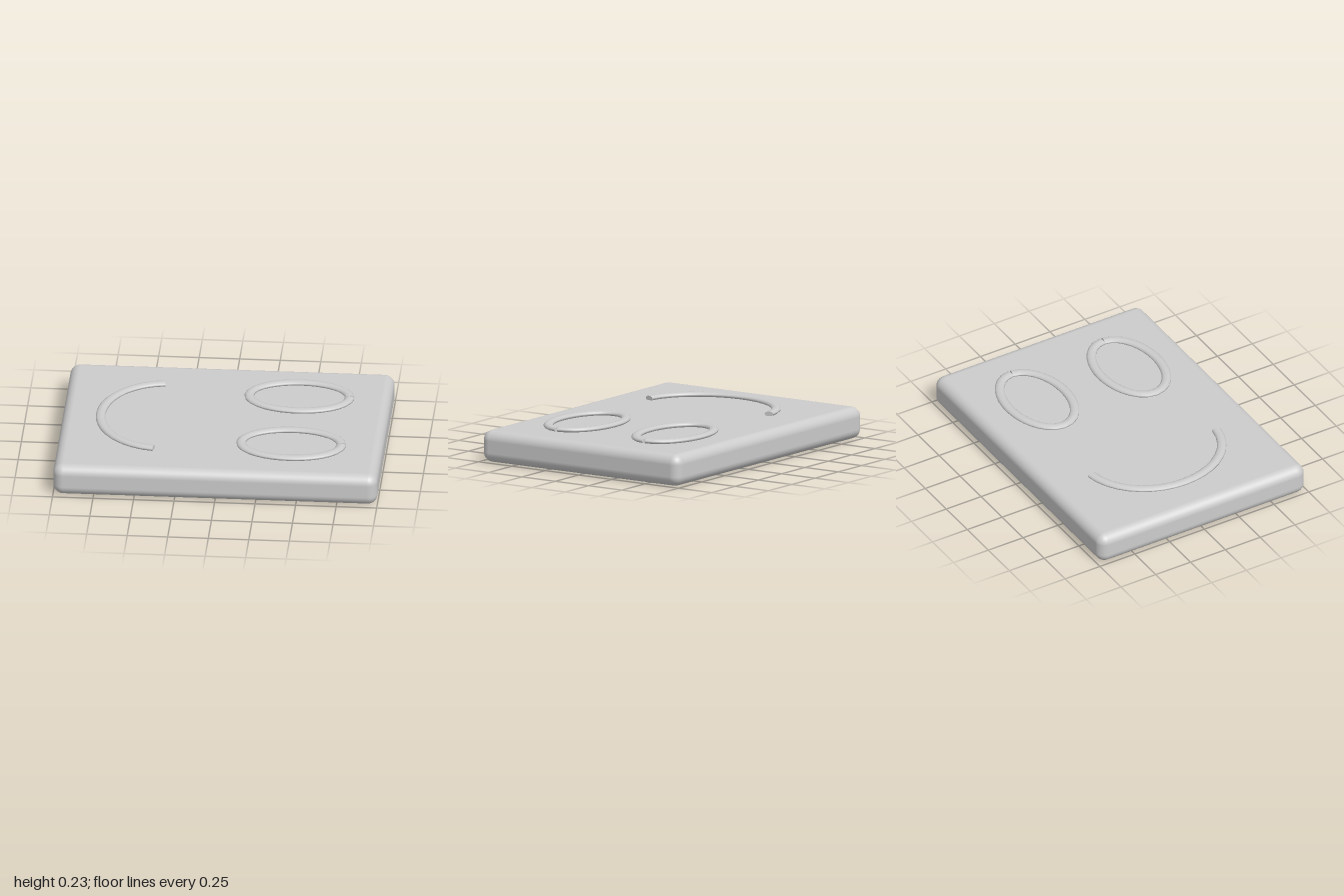
import * as THREE from 'three';
import { RoundedBoxGeometry } from 'three/addons/geometries/RoundedBoxGeometry.js';

const TUBE_RADIUS = 0.03;
const FLATTEN = 0.53;
const TUBE_HEIGHT = 0.218;

export function createModel() {
  const grey = new THREE.MeshStandardMaterial({ name: 'light grey', color: 0xcccccc });
  const model = new THREE.Group();
  model.name = 'facePlate';

  // Flattened tube along part of an ellipse lying flat, closed at both ends
  function ellipseTube(name, x, z, radiusX, radiusZ, start, end, segments) {
    const points = [];
    for (let i = 0; i <= segments; i++) {
      const a = start + (end - start) * i / segments;
      points.push(new THREE.Vector3(radiusX * Math.cos(a), 0, radiusZ * Math.sin(a)));
    }
    const path = new THREE.CatmullRomCurve3(points);
    const group = new THREE.Group();
    group.name = name;
    group.add(new THREE.Mesh(new THREE.TubeGeometry(path, segments, TUBE_RADIUS, 10), grey));

    // End caps face away from the tube
    for (const [t, sign] of [[0, -1], [1, 1]]) {
      const cap = new THREE.Mesh(new THREE.CircleGeometry(TUBE_RADIUS, 10), grey);
      cap.name = name + 'End';
      cap.position.copy(path.getPointAt(t));
      cap.lookAt(cap.position.clone().addScaledVector(path.getTangentAt(t), sign));
      group.add(cap);
    }
    group.scale.y = FLATTEN;
    group.position.set(x, TUBE_HEIGHT, z);
    model.add(group);
  }

  // Soft-edged slab
  const slab = new THREE.Mesh(new RoundedBoxGeometry(2, 0.199, 1.485, 5, 0.062), grey);
  slab.name = 'slab';
  slab.position.set(0, 0.1065, -0.002);
  model.add(slab);

  // Eye rings, each with a narrow slit at the outer end
  const slit = 0.02;
  for (const [name, z] of [['leftEye', -0.332], ['rightEye', 0.327]]) {
    ellipseTube(name, 0.44, z, 0.31, 0.195, slit, Math.PI * 2 - slit, 32);
  }

  // Curved mouth
  const reach = THREE.MathUtils.degToRad(84.3);
  ellipseTube('mouth', -0.36, 0, 0.4, 0.452, Math.PI - reach, Math.PI + reach, 18);

  return model;
}
